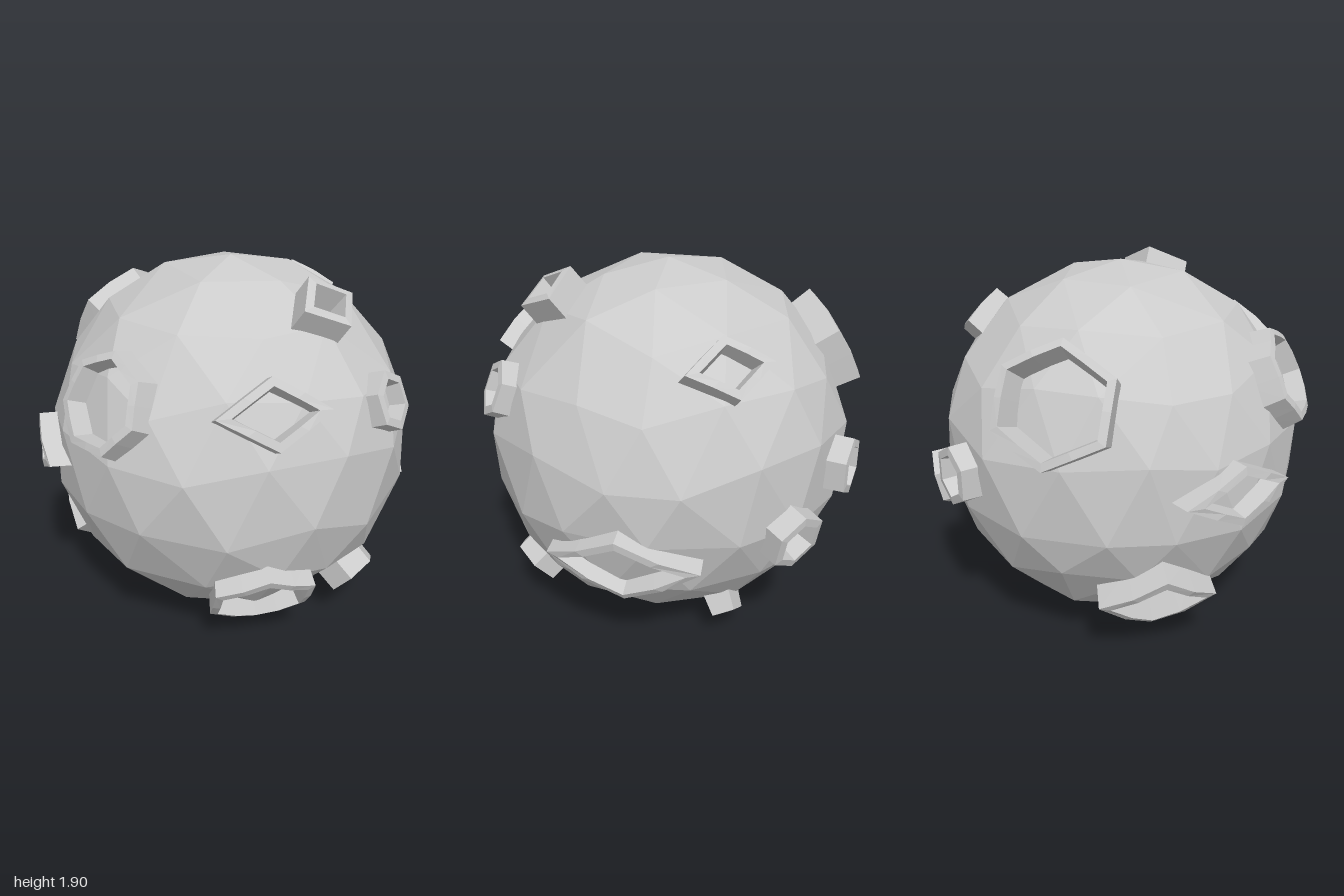
import * as THREE from 'three';
import { mergeVertices } from 'three/addons/utils/BufferGeometryUtils.js';

const CENTER = new THREE.Vector3(0.03, 0.95, -0.01);
const material = new THREE.MeshStandardMaterial({ color: 0xcccccc, flatShading: true, side: THREE.DoubleSide });

// Small seeded generator for the uneven rock surface
function seeded(seed) {
  return () => (seed = (seed * 16807) % 2147483647) / 2147483647;
}

// Coarsely faceted ball with a corner at each pole, corners shifted unevenly
function rockGeometry() {
  let geo = new THREE.IcosahedronGeometry(0.95, 2);
  geo.deleteAttribute('normal');
  geo.deleteAttribute('uv');
  geo = mergeVertices(geo, 1e-3);
  geo.rotateZ(-Math.atan(2 / (1 + Math.sqrt(5))));
  const random = seeded(4177);
  const shift = () => (random() - 0.5) * 0.1;
  const pos = geo.attributes.position;
  const p = new THREE.Vector3();
  for (let i = 0; i < pos.count; i++) {
    p.fromBufferAttribute(pos, i);
    if (Math.abs(p.y) > 0.94) continue;
    p.add(new THREE.Vector3(shift(), shift(), shift())).setLength(0.937 + 0.018 * random());
    pos.setXYZ(i, p.x, p.y, p.z);
  }
  geo.computeVertexNormals();
  return geo;
}

// Raised polygonal wall that follows the curve of the ball
function rimGeometry(normal, sides, rx, ry, top, flare) {
  const u = new THREE.Vector3(0, 1, 0).cross(normal).normalize();
  const v = normal.clone().cross(u);
  const split = rx > 0.2 ? 2 : 1;
  const count = sides * split;
  // Each loop: sideways offset from the outer lip, distance from the ball's centre
  const loops = [[flare, 0.88], [0, top], [-0.038, top], [-0.046, 0.88]];
  // Keeps the wall equally thick on stretched polygons
  const perOffset = sides === 4 ? Math.hypot(1 / rx, 1 / ry) : 1 / (Math.min(rx, ry) * Math.cos(Math.PI / sides));
  const corner = (k) => {
    const a = Math.PI / 2 + (k / sides) * Math.PI * 2;
    return new THREE.Vector2(Math.cos(a), Math.sin(a));
  };
  const points = [];
  const index = [];
  loops.forEach(([offset, radius], k) => {
    const s = 1 + offset * perOffset;
    for (let i = 0; i < count; i++) {
      const side = Math.floor(i / split);
      const c = corner(side).lerp(corner(side + 1), (i % split) / split);
      const p = normal.clone().addScaledVector(u, c.x * rx * s).addScaledVector(v, c.y * ry * s);
      points.push(p.setLength(radius));
      if (k < loops.length - 1) {
        const a = k * count + i, b = k * count + ((i + 1) % count);
        index.push(a, b, b + count, a, b + count, a + count);
      }
    }
  });
  const geo = new THREE.BufferGeometry().setFromPoints(points);
  geo.setIndex(index);
  geo.computeVertexNormals();
  return geo;
}

// Direction from the centre, sides, half width, half height, outer radius, spread of the foot
const CRATERS = [
  { name: 'frontCrater', dir: [0, 0.43, 0.87], sides: 7, rx: 0.25, ry: 0.25, flare: 0.065 },
  { name: 'frontRightDiamond', dir: [-0.57, 0.02, 0.78], sides: 4, rx: 0.32, ry: 0.15 },
  { name: 'lowerFrontRightCrater', dir: [-0.71, -0.59, 0.45], sides: 4, rx: 0.3, ry: 0.25, top: 1.04 },
  { name: 'upperFrontLeftDiamond', dir: [0.71, 0.47, 0.5], sides: 4, rx: 0.27, ry: 0.165 },
  { name: 'topLeftDiamond', dir: [0.605, 0.83, 0], sides: 4, rx: 0.18, ry: 0.15, top: 1.05 },
  { name: 'leftHexCrater', dir: [0.92, 0.39, -0.14], sides: 6, rx: 0.15, ry: 0.15, top: 1.01 },
  { name: 'lowerLeftCrater', dir: [0.62, -0.56, 0.46], sides: 6, rx: 0.29, ry: 0.28 },
  { name: 'lowerLeftHexCrater', dir: [0.75, -0.66, -0.13], sides: 6, rx: 0.14, ry: 0.14, top: 1.04 },
  { name: 'backLeftDiamond', dir: [0.42, -0.3, -0.86], sides: 4, rx: 0.41, ry: 0.22, top: 1.0 },
  { name: 'bottomBackCrater', dir: [-0.17, -0.75, -0.65], sides: 4, rx: 0.085, ry: 0.085, top: 1.03 },
  { name: 'upperBackDiamond', dir: [-0.13, 0.66, -0.75], sides: 4, rx: 0.22, ry: 0.15 },
  { name: 'backRightHexCrater', dir: [-0.8, 0.0, -0.59], sides: 6, rx: 0.155, ry: 0.155 },
  { name: 'lowerBackHexCrater', dir: [-0.44, -0.21, -0.87], sides: 6, rx: 0.155, ry: 0.155, top: 1.03 },
  { name: 'rightCrater', dir: [-0.88, 0.47, -0.01], sides: 6, rx: 0.32, ry: 0.3, top: 1.05 },
];

export function createModel() {
  const group = new THREE.Group();
  group.name = 'asteroid';

  const rock = new THREE.Mesh(rockGeometry(), material);
  rock.name = 'rock';
  rock.position.copy(CENTER);
  group.add(rock);

  for (const { name, dir, sides, rx, ry, top = 1.02, flare = 0.025 } of CRATERS) {
    const normal = new THREE.Vector3(...dir).normalize();
    const rim = new THREE.Mesh(rimGeometry(normal, sides, rx, ry, top, flare), material);
    rim.name = name;
    rim.position.copy(CENTER);
    group.add(rim);
  }
  return group;
}
